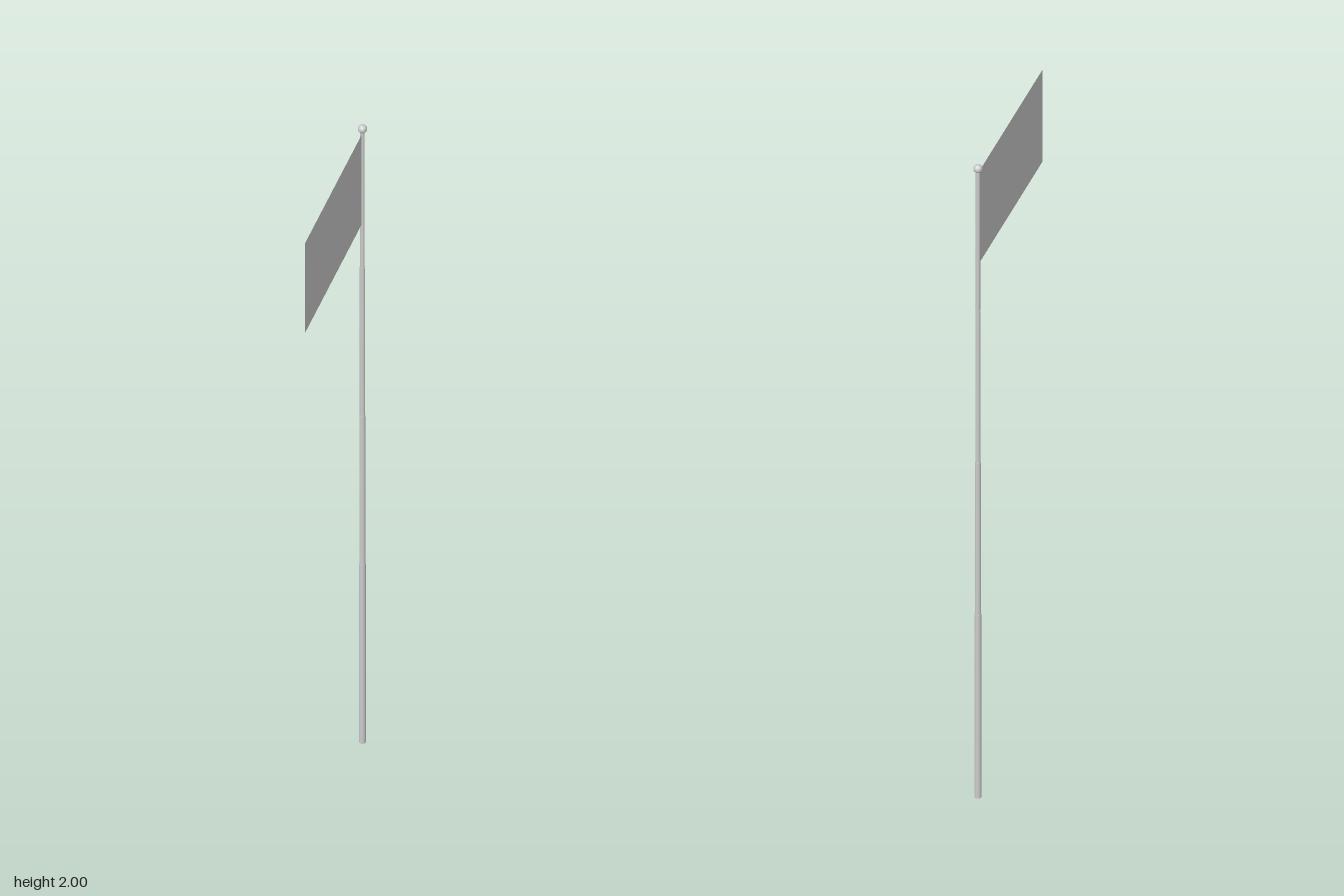
import * as THREE from 'three';

const POLE_Z = -0.24;

export function createModel() {
  const group = new THREE.Group();
  const grey = new THREE.MeshStandardMaterial({ color: 0xcccccc });
  const cloth = new THREE.MeshStandardMaterial({ color: 0xcccccc, side: THREE.DoubleSide });

  const add = (name, geometry, material, y, z) => {
    const mesh = new THREE.Mesh(geometry, material);
    mesh.name = name;
    mesh.position.set(0, y, z);
    group.add(mesh);
    return mesh;
  };

  // Telescoping pole: each section is slimmer than the one below
  const levels = [0, 0.58, 1.06, 1.54, 1.98];
  const radii = [0.009, 0.008, 0.007, 0.006];
  radii.forEach((r, i) => {
    const height = levels[i + 1] - levels[i];
    add(`poleSection${i + 1}`, new THREE.CylinderGeometry(r, r, height, 24), grey,
      levels[i] + height / 2, POLE_Z);
  });

  // Ball on the tip
  add('finial', new THREE.SphereGeometry(0.012, 24, 16), grey, 1.988, POLE_Z);

  // Flat flag reaching forward from the pole
  const front = 0.252, bottom = 1.682, top = 1.973;
  const flag = add('flag', new THREE.PlaneGeometry(front - POLE_Z, top - bottom), cloth,
    (top + bottom) / 2, (front + POLE_Z) / 2);
  flag.rotation.y = Math.PI / 2;

  return group;
}
